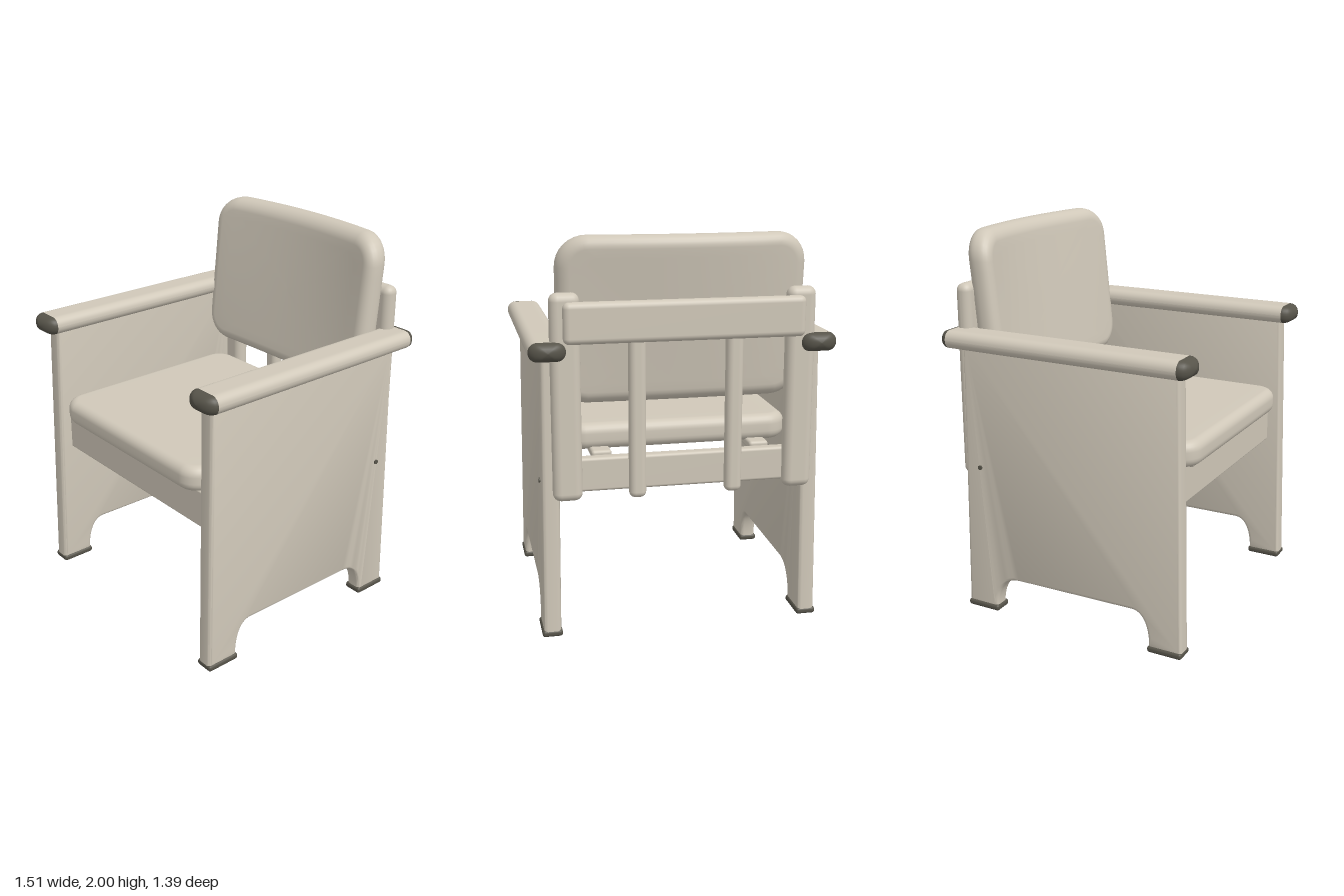
import * as THREE from 'three';
import { toCreasedNormals } from 'three/addons/utils/BufferGeometryUtils.js';
import { RoundedBoxGeometry } from 'three/addons/geometries/RoundedBoxGeometry.js';

const cream = new THREE.MeshStandardMaterial({ name: 'cream', color: 0xd0c8b9 });
const charcoal = new THREE.MeshStandardMaterial({ name: 'charcoal', color: 0x57544a });

// Skin a list of closed rings (each with the same number of points)
function skin(rings) {
  const n = rings[0].length, index = [];
  for (let i = 0; i < rings.length - 1; i++) {
    for (let j = 0; j < n; j++) {
      const a = i * n + j, b = i * n + (j + 1) % n;
      index.push(a, a + n, b, b, a + n, b + n);
    }
  }
  const geo = new THREE.BufferGeometry();
  geo.setAttribute('position', new THREE.Float32BufferAttribute(rings.flat(2), 3));
  geo.setIndex(index);
  geo.computeVertexNormals();
  return geo;
}

// Counter-clockwise rounded rectangle as [x, y] points
function roundedRect(a, b, r) {
  const corners = [[1, 1], [-1, 1], [-1, -1], [1, -1]], arcs = [];
  corners.forEach(([sx, sy], k) => {
    for (let i = 0; i <= 8; i++) {
      const t = (k + i / 8) * Math.PI / 2;
      arcs.push([sx * (a - r) + r * Math.cos(t), sy * (b - r) + r * Math.sin(t)]);
    }
  });
  // Extra points along the straight sides let the cushion bend
  return arcs.flatMap((p, i) => {
    if (i % 9 !== 8) return [p];
    const q = arcs[(i + 1) % arcs.length];
    return Array.from({ length: 10 }, (_, k) => [p[0] + (q[0] - p[0]) * k / 10, p[1] + (q[1] - p[1]) * k / 10]);
  });
}

// Soft cushion facing +z with rounded corners and rounded rim
function cushion(w, h, t, corner, edge, warp = (x, y, z) => [x, y, z]) {
  const levels = [];
  for (let i = 0; i < 8; i++) levels.push([i / 8, edge, t / 2]);
  for (const s of [1, -1]) {
    for (let i = 0; i <= 6; i++) {
      const a = (s > 0 ? i : 6 - i) / 6 * Math.PI / 2;
      levels.push([1, edge * (1 - Math.sin(a)), s * (t / 2 - edge + edge * Math.cos(a))]);
    }
  }
  for (let i = 7; i >= 0; i--) levels.push([i / 8, edge, -t / 2]);
  return skin(levels.map(([s, inset, z]) =>
    roundedRect(w / 2 - inset, h / 2 - inset, corner - inset).map(([x, y]) => warp(x * s, y * s, z))));
}

// Side panel outline drawn in (z, y), with leg arch and arm opening
function panelGeometry() {
  const s = new THREE.Shape();
  s.moveTo(0.66, 0.02);
  s.lineTo(0.62, 1.46);
  s.lineTo(-0.585, 1.46);
  s.lineTo(-0.6, 0.02);
  s.lineTo(-0.42, 0.02);
  s.bezierCurveTo(-0.42, 0.12, -0.38, 0.2, -0.28, 0.2);
  s.lineTo(0.39, 0.205);
  s.bezierCurveTo(0.45, 0.2, 0.48, 0.12, 0.48, 0.02);
  s.closePath();
  const hole = new THREE.Path();
  hole.moveTo(0.29, 1.14);
  hole.lineTo(-0.33, 1.14);
  hole.quadraticCurveTo(-0.39, 1.15, -0.4, 1.23);
  hole.lineTo(-0.42, 1.43);
  hole.lineTo(0.35, 1.43);
  hole.quadraticCurveTo(0.39, 1.4, 0.39, 1.32);
  hole.lineTo(0.38, 1.23);
  hole.quadraticCurveTo(0.37, 1.14, 0.29, 1.14);
  s.holes.push(hole);
  const bevel = 0.02, depth = 0.088;
  const geo = new THREE.ExtrudeGeometry(s, {
    depth: depth - 2 * bevel, bevelThickness: bevel, bevelSize: bevel, bevelOffset: -bevel, bevelSegments: 4, curveSegments: 10,
  });
  geo.translate(0, 0, bevel - depth / 2);
  geo.rotateY(-Math.PI / 2);
  return toCreasedNormals(geo, 0.7);
}

// Armrest section: flattened oval, scaled at each [z, scale] station
function armGeometry(stations) {
  return skin(stations.map(([z, k]) =>
    roundedRect(0.092 * k, 0.047 * k, 0.045 * k).map(([x, y]) => [x, y, z])));
}

export function createModel() {
  const model = new THREE.Group();
  model.name = 'armchair';
  const add = (name, geo, mat, x = 0, y = 0, z = 0) => {
    const m = new THREE.Mesh(geo, mat);
    m.name = name;
    m.position.set(x, y, z);
    model.add(m);
    return m;
  };
  // Rounded block given by its minimum and maximum corners
  const block = (name, [x0, y0, z0], [x1, y1, z1], r, mat = cream) =>
    add(name, new RoundedBoxGeometry(x1 - x0, y1 - y0, z1 - z0, 3, r), mat, (x0 + x1) / 2, (y0 + y1) / 2, (z0 + z1) / 2);

  // Seat cushion
  const seat = add('seatCushion', cushion(1.15, 1.14, 0.135, 0.11, 0.05), cream, 0, 1.0, 0.075);
  seat.rotation.x = -Math.PI / 2;

  // Backrest cushion: leans back and is hollowed towards the sitter
  add('backrestCushion', cushion(1.22, 0.82, 0.14, 0.15, 0.062, (x, y, z) => {
    const v = y / 0.82 + 0.5, sag = 1 - (x / 0.61) ** 2;
    return [x, y + 1.59, z - 0.47 - 0.08 * v - sag * (0.015 + 0.055 * v)];
  }), cream);

  // Seat frame
  block('frontApron', [-0.62, 0.73, 0.52], [0.62, 0.93, 0.57], 0.01);
  block('rearRail', [-0.6, 0.76, -0.61], [0.6, 0.93, -0.55], 0.015);

  // Back frame
  block('topRail', [-0.59, 1.5, -0.685], [0.59, 1.7, -0.62], 0.03);
  for (const x of [-0.245, 0.235]) block('backSlat', [x - 0.042, 0.725, -0.66], [x + 0.042, 1.56, -0.59], 0.03);

  // Parts mirrored on both sides
  const panel = panelGeometry();
  const caps = [0, 1, 2, 3, 4, 5, 6].map(i => i / 6 * Math.PI / 2);
  const arm = armGeometry([[0.635, 1], [0.3, 1], [-0.3, 1], [-0.645, 0.98]]);
  const frontCap = armGeometry(caps.map(a => [0.635 + 0.06 * Math.sin(a), Math.cos(a)]).reverse());
  const rearCap = armGeometry(caps.map(a => [-0.645 - 0.052 * Math.sin(a), 0.98 * Math.cos(a)]));
  for (const side of [-1, 1]) {
    const span = (a, b) => side > 0 ? [a, b] : [-b, -a];
    const sideBlock = (name, [a, b], [y0, y1], [z0, z1], r, mat) => {
      const [x0, x1] = span(a, b);
      return block(name, [x0, y0, z0], [x1, y1, z1], r, mat);
    };
    add('sidePanel', panel, cream, side * 0.666).rotation.z = side * 0.0125;
    sideBlock('frontFoot', [0.615, 0.717], [0, 0.034], [0.475, 0.663], 0.014, charcoal);
    sideBlock('rearFoot', [0.615, 0.717], [0, 0.034], [-0.603, -0.412], 0.014, charcoal);

    add('armrest', arm, cream, side * 0.664, 1.468);
    add('armrestFrontCap', frontCap, charcoal, side * 0.664, 1.468);
    add('armrestRearCap', rearCap, charcoal, side * 0.664, 1.468);

    sideBlock('backUpright', [0.505, 0.65], [0.725, 1.74], [-0.655, -0.57], 0.04);
    sideBlock('seatRunner', [0.35, 0.45], [0.905, 0.95], [-0.56, 0.59], 0.015);

    const bolt = add('bolt', new THREE.CylinderGeometry(0.012, 0.012, 0.01, 16), charcoal, side * 0.702, 0.8, -0.5);
    bolt.rotation.z = Math.PI / 2;
  }
  return model;
}
